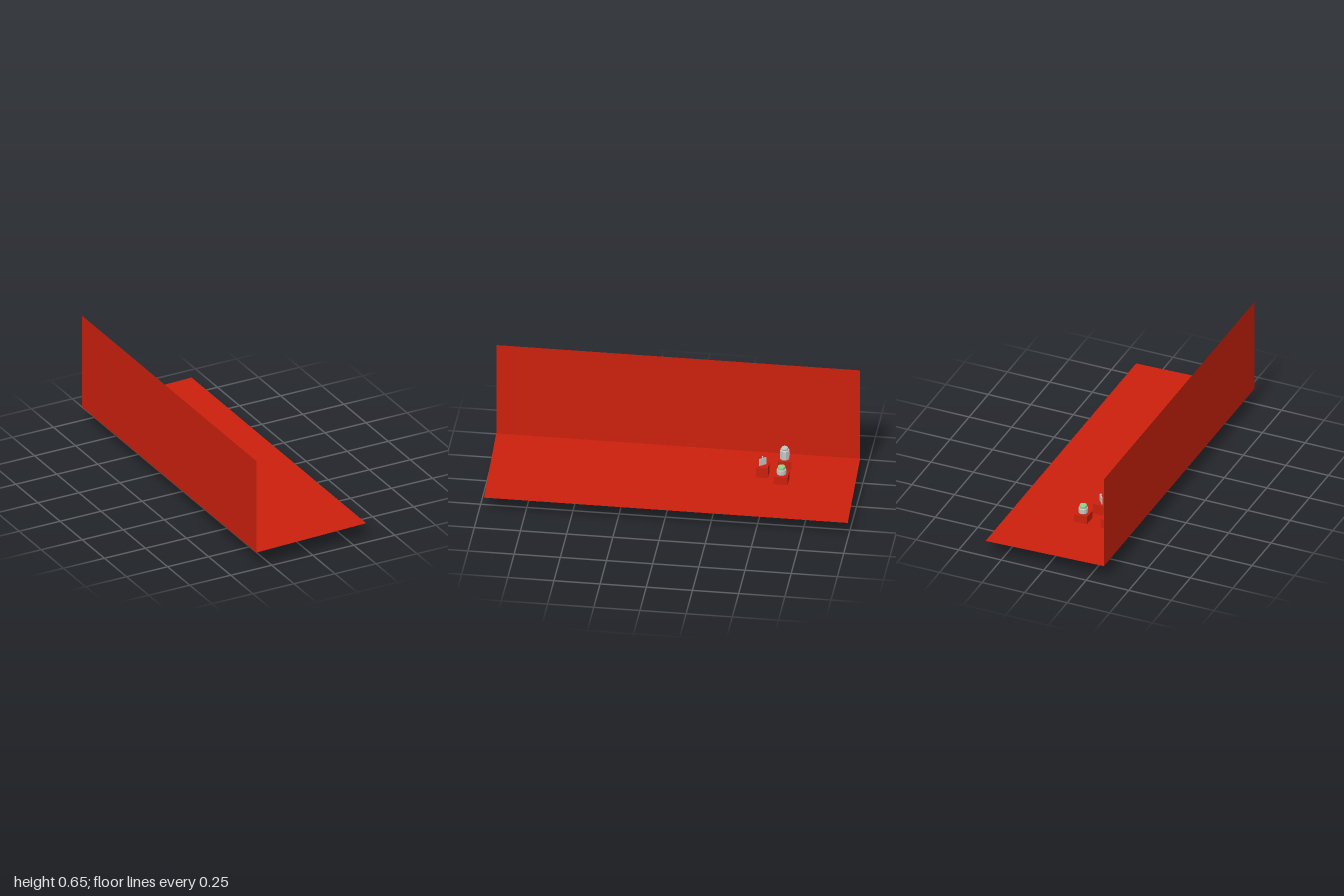
import * as THREE from 'three';

const mat = (name, color, double = false) => {
  const m = new THREE.MeshStandardMaterial({ color, flatShading: true });
  m.name = name;
  if (double) m.side = THREE.DoubleSide;
  return m;
};

export function createModel() {
  const root = new THREE.Group();
  const red = mat('red', 0xcc200d, true);
  const grey = mat('light grey', 0xc6c6c6);
  const green = mat('soft green', 0x92d28c);

  const add = (parent, name, geometry, material, x = 0, y = 0, z = 0) => {
    const m = new THREE.Mesh(geometry, material);
    m.name = name;
    m.position.set(x, y, z);
    parent.add(m);
    return m;
  };
  const lathe = (points, sides) =>
    new THREE.LatheGeometry(points.map(p => new THREE.Vector2(...p)), sides);

  // Flat sheet from four corners in order
  const sheet = (name, c) => {
    const g = new THREE.BufferGeometry();
    g.setAttribute('position', new THREE.Float32BufferAttribute(c.flat(), 3));
    g.setIndex([0, 1, 2, 0, 2, 3]);
    g.computeVertexNormals();
    add(root, name, g, red);
  };
  const base = 0.097, top = 0.646, X = 0.342;
  sheet('floor', [[-X, base, 0.997], [X, base, 0.97], [X, base, -1], [-X, base, -0.973]]);
  sheet('wall', [[-X, base, 0.997], [-X, base, -0.973], [-X, top, -0.973], [-X, top, 0.997]]);

  // Pedestal with an item group standing on its top
  const stand = (name, x, z, width, bottom, height, turn) => {
    const g = new THREE.Group();
    g.name = name;
    g.position.set(x, height, z);
    root.add(g);
    const h = height - bottom;
    add(g, 'pedestal', new THREE.BoxGeometry(width, h, width), red, 0, -h / 2, 0).rotation.y = turn;
    return g;
  };

  // Tall canister with a chamfered cap and round side plates
  const tall = stand('tallCanisterStand', -0.196, -0.585, 0.071, 0, 0.152, 0.17);
  add(tall, 'canisterBody', lathe([[0, 0], [0.0245, 0], [0.0262, 0.003], [0.0262, 0.053], [0.024, 0.056], [0, 0.056]], 8),
    grey).rotation.y = Math.PI / 8;
  add(tall, 'canisterCap', lathe([[0, 0.055], [0.016, 0.055], [0.0185, 0.059], [0.0185, 0.067], [0.017, 0.07], [0, 0.07]], 16), grey);
  for (let i = 0; i < 4; i++) {
    const a = i * Math.PI / 2;
    const p = add(tall, 'sidePlate', new THREE.CylinderGeometry(0.009, 0.009, 0.002, 12),
      grey, Math.cos(a) * 0.0245, 0.029, -Math.sin(a) * 0.0245);
    p.rotation.set(0, a, Math.PI / 2);
    p.scale.set(1.8, 1, 0.9);
  }

  // Thin upright plate set diagonally, with a small knob
  const thin = stand('thinPlateStand', -0.103, -0.478, 0.065, 0, 0.158, 0);
  const plate = new THREE.Group();
  plate.name = 'thinPlate';
  plate.rotation.y = -0.9;
  thin.add(plate);
  add(plate, 'plateBody', new THREE.BoxGeometry(0.043, 0.04, 0.006), grey, 0, 0.02, 0);
  add(plate, 'knobStem', new THREE.CylinderGeometry(0.003, 0.003, 0.006, 8), grey, 0, 0.042, 0);
  add(plate, 'knob', new THREE.CylinderGeometry(0.004, 0.004, 0.008, 8), grey, 0, 0.048, 0);

  // Low jar with a green lid
  const low = stand('lowJarStand', -0.0475, -0.588, 0.075, 0.09, 0.143, 0);
  add(low, 'jarBody', lathe([[0, 0], [0.023, 0], [0.0262, 0.004], [0.0262, 0.029], [0.0245, 0.032], [0, 0.032]], 12), grey);
  add(low, 'jarLid', lathe([[0.02, 0.031], [0.0205, 0.033], [0.0205, 0.046], [0.0195, 0.048], [0, 0.048]], 12), green);

  return root;
}
